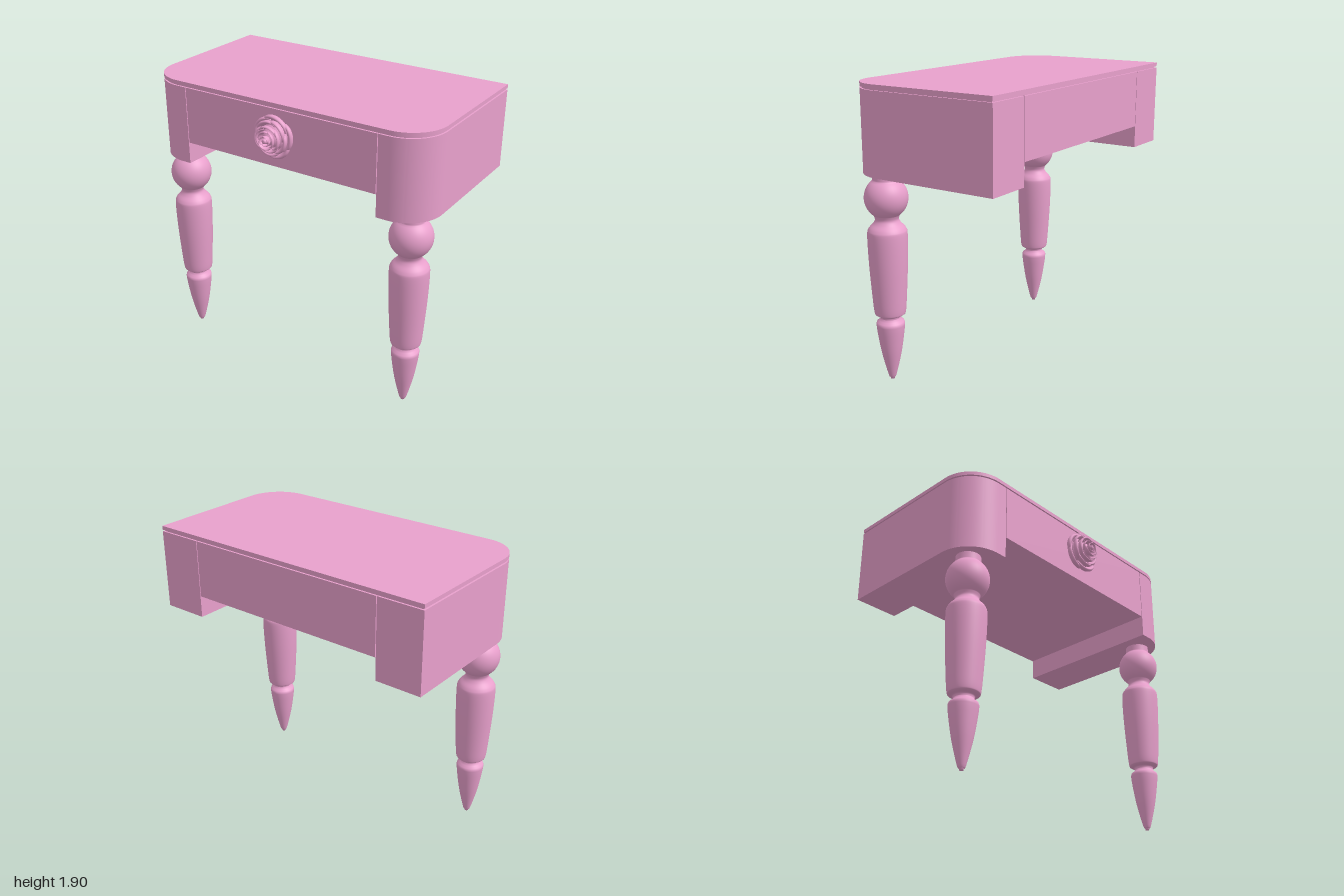
import * as THREE from 'three';
import { toCreasedNormals } from 'three/addons/utils/BufferGeometryUtils.js';
import { ParametricGeometry } from 'three/addons/geometries/ParametricGeometry.js';

const PINK = 0xe8a0cc;
const BACK = -0.6, FRONT = 0.47;

export function createModel() {
  const model = new THREE.Group();
  const wood = new THREE.MeshStandardMaterial({ color: PINK });
  const petalMat = new THREE.MeshStandardMaterial({ color: PINK, side: THREE.DoubleSide });

  const add = (name, geometry, parent = model, material = wood) => {
    const mesh = new THREE.Mesh(geometry, material);
    mesh.name = name;
    parent.add(mesh);
    return mesh;
  };

  // Slab between two heights; outline is drawn in x and z
  const slab = (shape, bottom, top) => {
    const g = new THREE.ExtrudeGeometry(shape, { depth: top - bottom, bevelEnabled: false, curveSegments: 20 });
    g.rotateX(Math.PI / 2).translate(0, top, 0);
    return toCreasedNormals(g, 0.5);
  };

  // Full plan with square back and rounded front corners
  const plan = (inset) => {
    const x = 1 - inset, f = FRONT - inset, b = BACK + inset, r = 0.24 - inset;
    const s = new THREE.Shape();
    s.moveTo(-x, b).lineTo(x, b).lineTo(x, f - r);
    s.absarc(x - r, f - r, r, 0, Math.PI / 2, false);
    s.lineTo(-x + r, f);
    s.absarc(-x + r, f - r, r, Math.PI / 2, Math.PI, false);
    s.closePath();
    return s;
  };

  // Table top and the shadow groove beneath it
  add('tableTop', slab(plan(0), 1.88, 1.905));
  add('topGroove', slab(plan(0.012), 1.868, 1.882));

  // Drawer between the side blocks
  const drawer = new THREE.BoxGeometry(1.38, 0.37, FRONT - BACK);
  drawer.translate(0, 1.685, (FRONT + BACK) / 2);
  add('drawer', drawer);

  // Turned leg profile, from the foot up
  const lower = new THREE.SplineCurve([
    [0.014, 0.012], [0.026, 0.03], [0.062, 0.18], [0.084, 0.32], [0.09, 0.38],
  ].map(([r, y]) => new THREE.Vector2(r, y))).getPoints(16);
  const shaft = new THREE.SplineCurve([
    [0.062, 0.42], [0.066, 0.436], [0.09, 0.446], [0.099, 0.465], [0.107, 0.56], [0.12, 0.78],
    [0.124, 0.96], [0.115, 1.005], [0.085, 1.04], [0.073, 1.065], [0.08, 1.09],
  ].map(([r, y]) => new THREE.Vector2(r, y))).getPoints(48);
  const ball = [];
  for (let i = 0; i <= 20; i++) {
    const a = THREE.MathUtils.lerp(-0.92, 0.92, i / 20);
    ball.push(new THREE.Vector2(0.135 * Math.cos(a), 1.2 + 0.135 * Math.sin(a)));
  }
  const v = (r, y) => new THREE.Vector2(r, y);
  const legProfile = [v(0, 0), v(0.012, 0), ...lower, v(0.086, 0.395), v(0.07, 0.405),
    ...shaft, ...ball, v(0.079, 1.315), v(0.079, 1.36)];

  for (const [side, name] of [[1, 'left'], [-1, 'right']]) {
    // Side block with a rounded outer front corner
    const r = 0.24, s = new THREE.Shape();
    s.moveTo(side * 0.695, BACK).lineTo(side, BACK).lineTo(side, FRONT - r);
    s.absarc(side * (1 - r), FRONT - r, r, side > 0 ? 0 : Math.PI, Math.PI / 2, side < 0);
    s.lineTo(side * 0.695, FRONT).closePath();
    add(name + 'SideBlock', slab(s, 1.355, 1.87));

    const leg = add(name + 'Leg', new THREE.LatheGeometry(legProfile, 40));
    leg.position.set(side * 0.845, 0, 0.3);
  }

  // Rose knob, facing +z
  const rose = new THREE.Group();
  rose.name = 'roseKnob';
  rose.position.set(0, 1.705, FRONT);
  model.add(rose);

  const core = new THREE.LatheGeometry(
    [v(0.085, 0), v(0.1, 0.02), v(0.075, 0.05), v(0.045, 0.075), v(0.02, 0.095), v(0, 0.1)], 28);
  add('roseCore', core.rotateX(Math.PI / 2), rose);

  // Petal cups outward, rolls over its lip and overlaps its neighbour
  const petal = (angle, spread, radius, base, height, roll) => {
    const section = new THREE.SplineCurve([
      v(radius * 0.5, base), v(radius * 0.74, base + (height - base) * 0.45),
      v(radius * 0.86, height - 0.004), v(radius * 0.94, height),
      v(radius, height - roll * 0.4), v(radius * 0.97, height - roll),
    ]);
    const p = new THREE.Vector2();
    return new ParametricGeometry((u, t, target) => {
      const w = u * 2 - 1, a = angle + w * spread;
      section.getPoint(t, p);
      const edge = Math.pow(Math.abs(w), 3);
      const k = 1 - 0.13 * edge + 0.06 * w;
      target.set(p.x * k * Math.cos(a), p.x * k * Math.sin(a), base + (p.y - base) * (1 - 0.3 * edge));
    }, 18, 14);
  };

  // Petal rings from the outside in: count, radius, base, height, lip roll
  const rings = [
    [5, 0.137, 0.0, 0.045, 0.03], [5, 0.112, 0.02, 0.072, 0.028],
    [4, 0.085, 0.035, 0.094, 0.024], [3, 0.058, 0.05, 0.112, 0.018],
    [3, 0.034, 0.06, 0.124, 0.012],
  ];
  rings.forEach(([count, radius, base, height, roll], ring) => {
    for (let i = 0; i < count; i++) {
      const angle = ring * 0.75 + (i / count) * Math.PI * 2;
      const lift = ((i * 2 + ring) % 3 - 1) * 0.004;
      add('rosePetal', petal(angle, 1.35 * Math.PI / count, radius, base, height + lift, roll), rose, petalMat);
    }
  });

  // Rolled bud in the centre
  const bud = new THREE.LatheGeometry([v(0.012, 0.07), v(0.018, 0.1), v(0.014, 0.122), v(0.005, 0.127), v(0, 0.124)], 16);
  add('roseBud', bud.rotateX(Math.PI / 2), rose, petalMat);

  return model;
}
